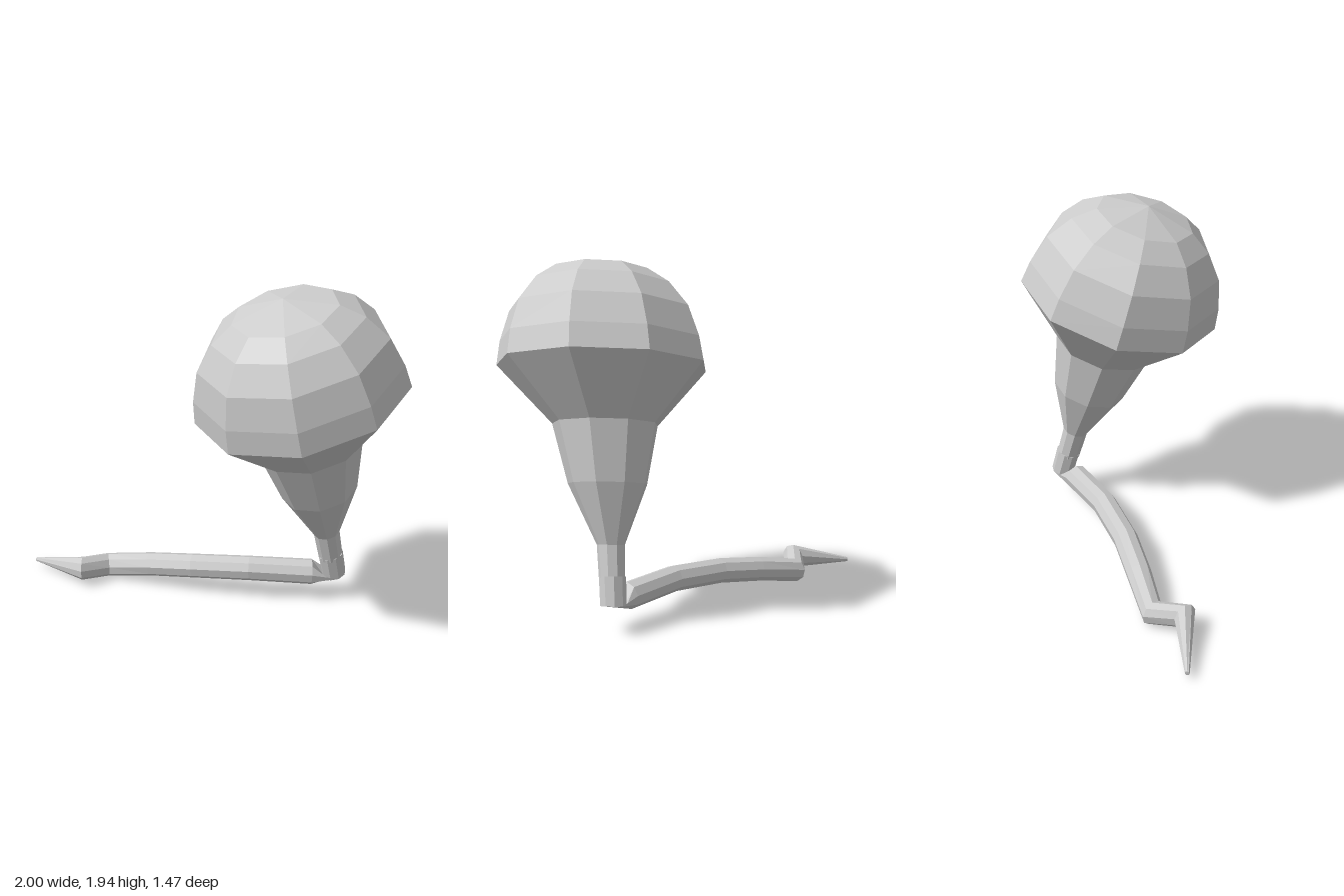
import * as THREE from 'three';

const SIDES = 9;
const V = (x, y, z) => new THREE.Vector3(x, y, z);
const LEAN = V(0, 0.96, 0.28).normalize(); // forward lean of stem and head

// Skin nine-sided rings { p, r, t } along a path, carrying the frame from ring to ring.
// t is the ring's normal; without it the ring bisects the bend.
function loft(name, rings, startSide) {
  const tangents = rings.map((ring, i) => {
    if (ring.t) return ring.t.clone();
    const before = i > 0 ? ring.p.clone().sub(rings[i - 1].p).normalize() : V(0, 0, 0);
    const after = i < rings.length - 1 ? rings[i + 1].p.clone().sub(ring.p).normalize() : V(0, 0, 0);
    return before.add(after).normalize();
  });
  const u = startSide.clone().projectOnPlane(tangents[0]).normalize();
  const turn = new THREE.Quaternion();
  const positions = [], index = [];
  rings.forEach(({ p, r }, i) => {
    if (i > 0) u.applyQuaternion(turn.setFromUnitVectors(tangents[i - 1], tangents[i]));
    const v = tangents[i].clone().cross(u);
    for (let j = 0; j < SIDES; j++) {
      const a = (j / SIDES) * Math.PI * 2;
      const q = p.clone().addScaledVector(u, r * Math.cos(a)).addScaledVector(v, r * Math.sin(a));
      positions.push(q.x, q.y, q.z);
    }
  });
  for (let i = 0; i < rings.length - 1; i++) {
    for (let j = 0; j < SIDES; j++) {
      const k = (j + 1) % SIDES;
      const a = i * SIDES + j, b = i * SIDES + k, c = a + SIDES, d = b + SIDES;
      if (rings[i].r > 0) index.push(a, b, d);
      if (rings[i + 1].r > 0) index.push(a, d, c);
      else if (rings[i].r === 0) continue;
    }
  }
  const geometry = new THREE.BufferGeometry();
  geometry.setAttribute('position', new THREE.Float32BufferAttribute(positions, 3));
  geometry.setIndex(index);
  geometry.computeVertexNormals();
  const mesh = new THREE.Mesh(geometry, new THREE.MeshStandardMaterial({
    color: 0xcccccc, flatShading: true, side: THREE.DoubleSide,
  }));
  mesh.name = name;
  return mesh;
}

export function createModel() {
  const group = new THREE.Group();
  group.name = 'plant';

  // Creeping root: pointed tip, kink, arched runner, then the turn up into the stem base
  const tip = V(-0.997, 0.052, 0.722);
  group.add(loft('root', [
    { p: tip, r: 0 },
    { p: tip.clone().add(V(0.001, 0, 0)), r: 0.013 },
    { p: V(-0.648, 0.107, 0.595), r: 0.07 },
    { p: V(-0.648, 0.074, 0.412), r: 0.07 },
    { p: V(-0.42, 0.128, 0.25), r: 0.071 },
    { p: V(-0.2, 0.165, 0.09), r: 0.072 },
    { p: V(0.05, 0.188, -0.14), r: 0.073 },
    { p: V(0.28, 0.178, -0.42), r: 0.075, t: V(0.58, -0.04, -0.81).normalize() },
    { p: V(0.345, 0.16, -0.54), r: 0.07, t: LEAN },
    { p: V(0.352, 0.31, -0.5), r: 0.073, t: LEAN },
    { p: V(0.352, 0.31, -0.5), r: 0, t: LEAN },
  ], V(0, 1, 0)));

  // Stem flaring out to the underside of the rim
  const rim = V(0.423, 1.38, -0.185);
  group.add(loft('stem', [
    { p: V(0.352, 0.29, -0.503), r: 0.07, t: LEAN },
    { p: V(0.362, 0.467, -0.455), r: 0.075, t: LEAN },
    { p: V(0.384, 0.775, -0.367), r: 0.214, t: LEAN },
    { p: V(0.403, 1.08, -0.275), r: 0.287, t: LEAN },
    { p: rim, r: 0.577, t: LEAN },
  ], V(1, 0, 0)));

  // Domed cap: pairs of height above the rim and radius
  const dome = [[0, 0.577], [0.13, 0.557], [0.295, 0.502], [0.428, 0.398], [0.51, 0.277], [0.578, 0]];
  group.add(loft('cap', dome.map(([h, r]) => ({
    p: rim.clone().addScaledVector(LEAN, h).add(V(h * 0.05, 0, 0)), r, t: LEAN,
  })), V(1, 0, 0)));

  return group;
}
